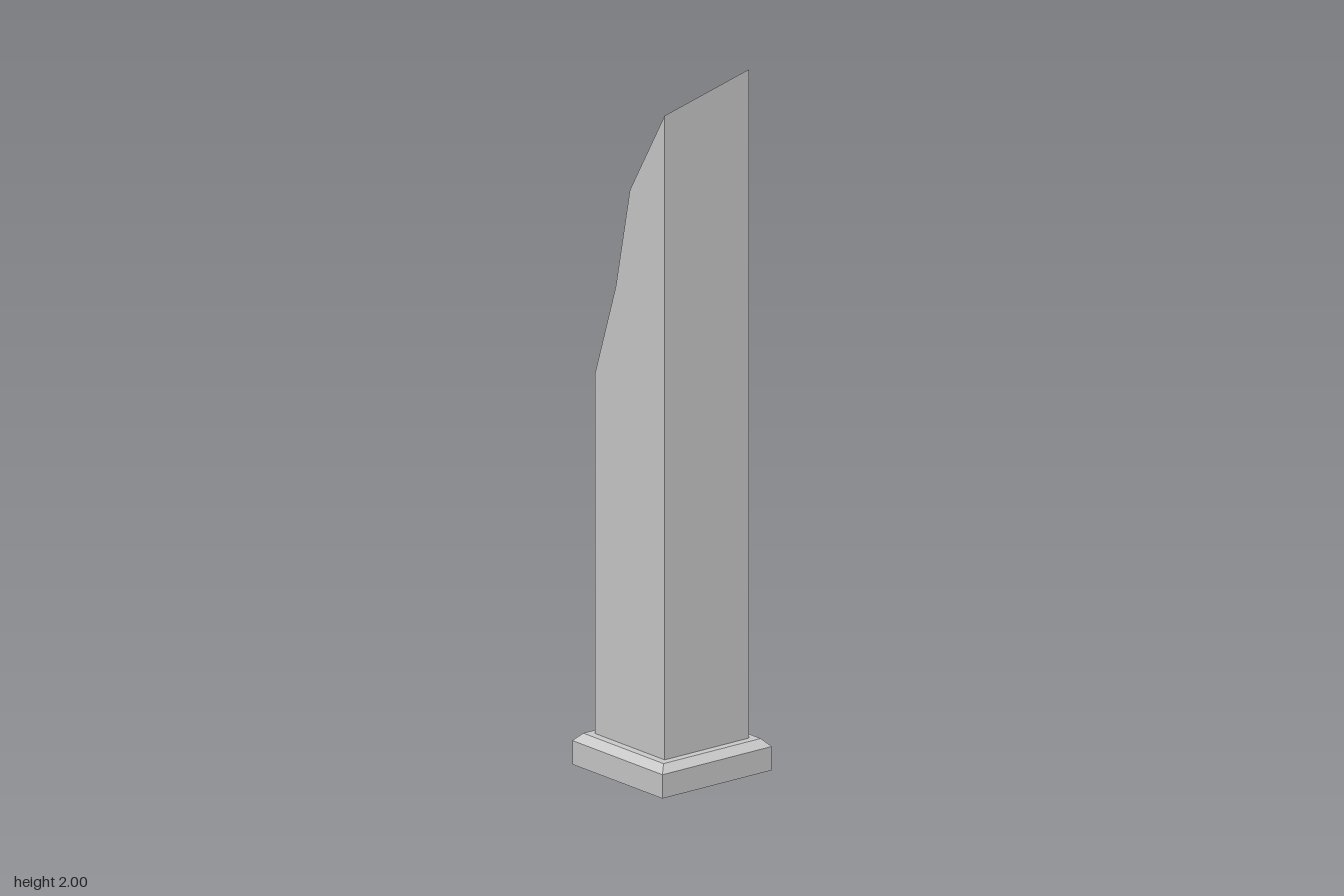
import * as THREE from 'three';

const material = new THREE.MeshStandardMaterial({ color: 0xcccccc, flatShading: true });

// Four-sided turned solid from [radius, height] pairs, corners on the axes
function fourSided(profile) {
  const points = profile.map(([r, y]) => new THREE.Vector2(r, y));
  return new THREE.LatheGeometry(points, 4).toNonIndexed();
}

// Square foot with a bevelled top edge
function createPlinth() {
  const geometry = fourSided([[0, 0], [0.192, 0], [0.192, 0.068], [0.171, 0.09], [0, 0.09]]);
  geometry.rotateY(Math.PI / 4);
  geometry.scale(Math.SQRT2, 1, Math.SQRT2);
  geometry.computeVertexNormals();
  const mesh = new THREE.Mesh(geometry, material);
  mesh.name = 'plinth';
  return mesh;
}

// Square shaft, broken off at the top: side outlines as [z, y], joined across x
function createShaft() {
  const h = 0.148;
  const toSide = (x, outline) => outline.map(([z, y]) => new THREE.Vector3(x, y, z));
  const left = toSide(h, [[h, 0.08], [h, 2], [0, 1.75], [-h, 1.19], [-h, 1.19], [-h, 0.08]]);
  const right = toSide(-h, [[h, 0.08], [h, 1.93], [0, 1.68], [-0.06, 1.39], [-h, 1.12], [-h, 0.08]]);

  const corners = [];
  const triangle = (a, b, c) => {
    if (!a.equals(b) && !b.equals(c) && !c.equals(a)) corners.push(a, b, c);
  };
  const n = left.length;
  for (let i = 0; i < n; i++) {
    const j = (i + 1) % n;
    // Front, broken top, back and underside
    triangle(right[i], left[i], left[j]);
    triangle(right[i], left[j], right[j]);
    // Flat side walls
    if (i > 0 && i < n - 1) {
      triangle(left[0], left[j], left[i]);
      triangle(right[0], right[i], right[j]);
    }
  }
  const geometry = new THREE.BufferGeometry().setFromPoints(corners);
  geometry.computeVertexNormals();
  const mesh = new THREE.Mesh(geometry, material);
  mesh.name = 'brokenShaft';
  return mesh;
}

// Stepped diamond boss with a bevelled gem, standing out along +x
function createDiamond(name, y, offset) {
  const geometry = fourSided([
    [0, 0.141], [1, 0.141], [1, 0.151], [0.92, 0.157],
    [0.83, 0.157], [0.82, 0.163], [0.4, 0.178], [0, 0.178],
  ]);
  geometry.rotateZ(-Math.PI / 2);
  geometry.scale(1, 0.19, 0.129);
  geometry.computeVertexNormals();
  const mesh = new THREE.Mesh(geometry, material);
  mesh.name = name;
  mesh.position.set(offset, y, 0);
  return mesh;
}

export function createModel() {
  const model = new THREE.Group();
  model.name = 'brokenPillar';
  model.add(
    createPlinth(),
    createShaft(),
    createDiamond('upperDiamond', 1.335, 0),
    createDiamond('lowerDiamond', 0.5, -0.005),
  );
  return model;
}
